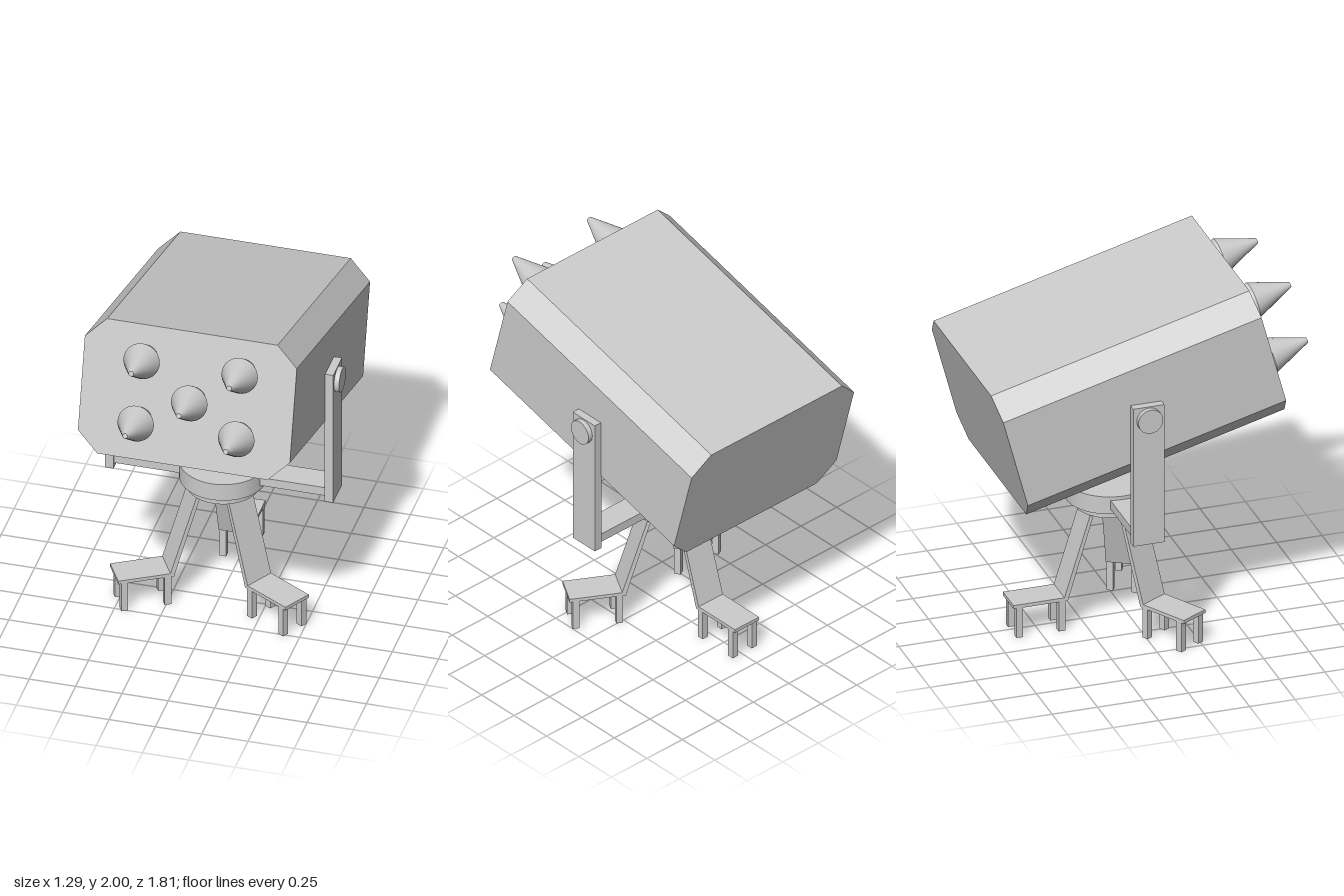
import * as THREE from 'three';

const material = new THREE.MeshStandardMaterial({ color: 0xcccccc });

function add(parent, name, geometry, x = 0, y = 0, z = 0) {
  const mesh = new THREE.Mesh(geometry, material);
  mesh.name = name;
  mesh.position.set(x, y, z);
  parent.add(mesh);
  return mesh;
}

// Closed outline extruded along z, centred on z = 0
function prism(points, depth) {
  const shape = new THREE.Shape(points.map(([x, y]) => new THREE.Vector2(x, y)));
  return new THREE.ExtrudeGeometry(shape, { depth, bevelEnabled: false }).translate(0, 0, -depth / 2);
}

function createPod() {
  const pod = new THREE.Group();
  pod.name = 'launcherPod';
  const w = 0.572, h = 0.373, c = 0.112, length = 1.47;
  add(pod, 'podCasing', prism([
    [-w + c, -h], [w - c, -h], [w, -h + c], [w, h - c],
    [w - c, h], [-w + c, h], [-w, h - c], [-w, -h + c],
  ], length));

  // Five rocket noses: a collar widening from the face, then a blunt cone
  const collar = new THREE.CylinderGeometry(0.098, 0.075, 0.06, 32).rotateX(Math.PI / 2);
  const cone = new THREE.CylinderGeometry(0.014, 0.098, 0.212, 32).rotateX(Math.PI / 2);
  const spots = [[-0.248, 0.186], [0.281, 0.19], [0.023, -0.004], [-0.255, -0.16], [0.288, -0.16]];
  for (const [x, y] of spots) {
    const rocket = new THREE.Group();
    rocket.name = 'rocket';
    rocket.position.set(x, y, length / 2 + 0.047);
    add(rocket, 'rocketCollar', collar, 0, 0, -0.03);
    add(rocket, 'rocketNose', cone, 0, 0, 0.106);
    pod.add(rocket);
  }
  pod.position.set(-0.004, 1.452, -0.095);
  pod.rotation.x = -Math.PI / 12;
  return pod;
}

function createYoke() {
  const yoke = new THREE.Group();
  yoke.name = 'yoke';
  for (const [side, name] of [[1, 'left'], [-1, 'right']]) {
    add(yoke, name + 'Upright', new THREE.BoxGeometry(0.046, 0.8, 0.17), side * 0.593, 1.1, 0);
    add(yoke, name + 'Crossbar', new THREE.BoxGeometry(0.41, 0.05, 0.15), side * 0.37, 0.755, 0);
    const pin = new THREE.CylinderGeometry(0.068, 0.068, 0.03, 32).rotateZ(Math.PI / 2);
    add(yoke, name + 'PivotPin', pin, side * 0.628, 1.425, 0.002);
  }
  add(yoke, 'turntable', new THREE.CylinderGeometry(0.232, 0.232, 0.1, 48), 0, 0.75, -0.005);
  add(yoke, 'turntableCollar', new THREE.CylinderGeometry(0.193, 0.193, 0.045, 48), 0, 0.678, 0.003);
  yoke.position.set(-0.005, 0, -0.088);
  return yoke;
}

// One leg pointing along +x: sloping strut, foot plate and four short posts
function createLeg() {
  const leg = new THREE.Group();
  leg.name = 'leg';
  const width = 0.17;
  add(leg, 'strut', prism([[0.27, 0.172], [0.29, 0.19], [0.145, 0.66], [0.125, 0.66]], width));
  add(leg, 'footPlate', new THREE.BoxGeometry(0.3, 0.02, width), 0.42, 0.181, 0);
  for (const x of [0.303, 0.535]) {
    for (const z of [-0.067, 0.067]) {
      add(leg, 'footPost', new THREE.BoxGeometry(0.036, 0.174, 0.036), x, 0.087, z);
    }
  }
  return leg;
}

export function createModel() {
  const model = new THREE.Group();
  model.name = 'rocketLauncher';
  model.add(createPod(), createYoke());

  // Tripod: one leg to the back, two to the front
  const tripod = new THREE.Group();
  tripod.name = 'tripod';
  for (const degrees of [90, 210, 330]) {
    const leg = createLeg();
    leg.rotation.y = THREE.MathUtils.degToRad(degrees);
    tripod.add(leg);
  }
  tripod.position.set(-0.021, 0, -0.085);
  model.add(tripod);
  return model;
}
